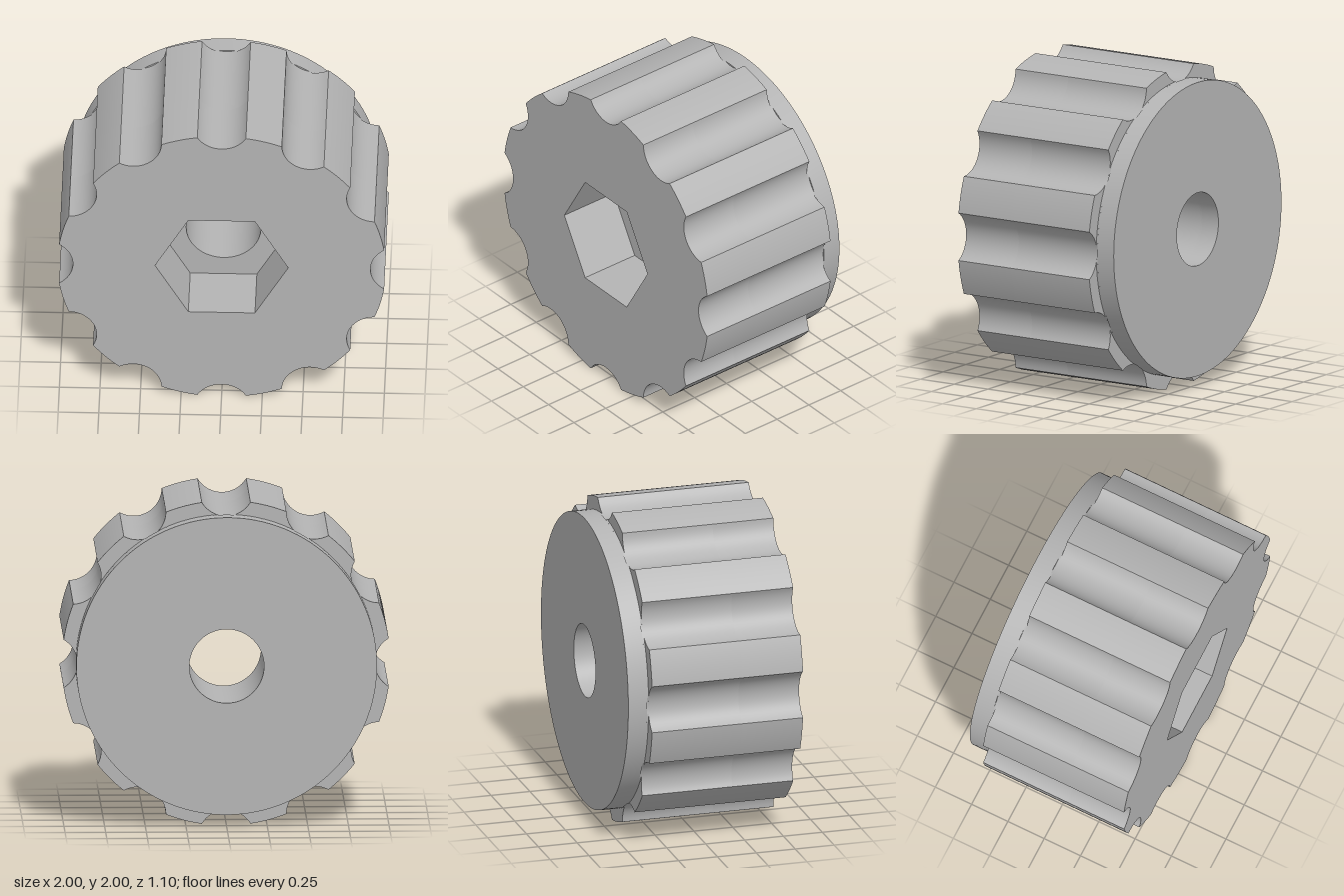
import * as THREE from 'three';
import { toCreasedNormals } from 'three/addons/utils/BufferGeometryUtils.js';

const GROOVES = 12, GROOVE_R = 0.174, GROOVE_DIST = 1.089;
const OUTER_R = 1.011, FLANGE_R = 0.925, BORE_R = 0.23, HEX_R = 0.41;
const FRONT = 0.55, HEX_FLOOR = 0.16, SHOULDER = -0.42, GROOVE_END = -0.43, BACK = -0.55;

// Regular polygon points; many sides make a circle
function ring(radius, sides) {
  return Array.from({ length: sides }, (_, i) => {
    const a = (i / sides) * Math.PI * 2;
    return new THREE.Vector2(Math.cos(a) * radius, Math.sin(a) * radius);
  });
}

// Circle of the given radius with round grooves cut into its rim
function fluted(radius) {
  const shape = new THREE.Shape();
  const half = Math.acos((GROOVE_DIST ** 2 + GROOVE_R ** 2 - radius ** 2) / (2 * GROOVE_DIST * GROOVE_R));
  const edge = Math.asin((GROOVE_R * Math.sin(half)) / radius);
  const step = (Math.PI * 2) / GROOVES;
  for (let i = 0; i < GROOVES; i++) {
    const t = i * step;
    shape.absarc(Math.cos(t) * GROOVE_DIST, Math.sin(t) * GROOVE_DIST, GROOVE_R,
      t + Math.PI + half, t + Math.PI - half, true);
    shape.absarc(0, 0, radius, t + edge, t + step - edge, false);
  }
  return shape;
}

export function createModel() {
  const group = new THREE.Group();
  group.name = 'flutedKnob';
  const grey = new THREE.MeshStandardMaterial({ color: 0xb4b4b4 });
  grey.name = 'grey';

  // Extrude an outline with a central hole between two depths
  function slab(name, shape, hole, z0, z1) {
    shape.holes.push(new THREE.Path(hole));
    const geo = new THREE.ExtrudeGeometry(shape, { depth: z1 - z0, bevelEnabled: false, curveSegments: 8 });
    geo.translate(0, 0, z0);
    const mesh = new THREE.Mesh(toCreasedNormals(geo, 0.5), grey);
    mesh.name = name;
    mesh.position.y = 1;
    group.add(mesh);
  }

  const bore = ring(BORE_R, 64);
  // Grip with hexagonal nut pocket at the front, round bore behind it
  slab('gripWithHexPocket', fluted(OUTER_R), ring(HEX_R, 6), HEX_FLOOR, FRONT);
  slab('gripWithBore', fluted(OUTER_R), bore, SHOULDER, HEX_FLOOR);
  // Rear flange, slightly nicked by the groove ends
  slab('flangeLip', fluted(FLANGE_R), bore, GROOVE_END, SHOULDER);
  slab('flange', new THREE.Shape(ring(FLANGE_R, 128)), bore, BACK, GROOVE_END);

  return group;
}
